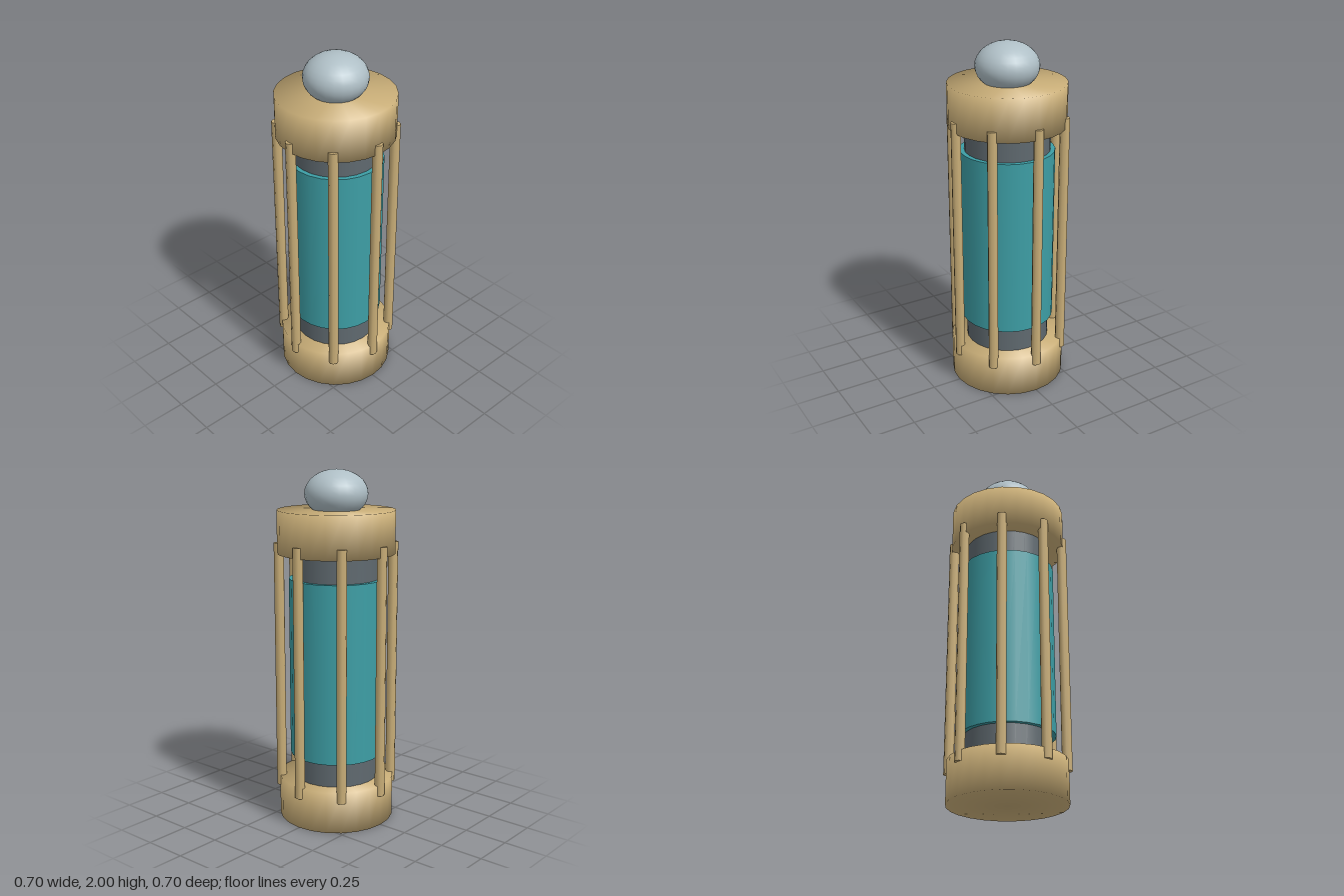
import * as THREE from 'three';
import { mergeVertices } from 'three/addons/utils/BufferGeometryUtils.js';

const mat = (name, color) => {
  const m = new THREE.MeshStandardMaterial({ color });
  m.name = name;
  return m;
};

// Cylinder whose normals blend over the rim, with a vertex on +x
function softCylinder(r, h, sides) {
  const g = new THREE.CylinderGeometry(r, r, h, sides);
  g.deleteAttribute('normal');
  g.deleteAttribute('uv');
  const merged = mergeVertices(g, 1e-4);
  merged.computeVertexNormals();
  return merged;
}

export function createModel() {
  const model = new THREE.Group();
  model.name = 'cagedCanister';
  const brass = mat('brass', 0xc9ae78);
  const teal = mat('tealGlass', 0x3d9ea5);
  const steel = mat('darkSteel', 0x5f696f);
  const silver = mat('paleSilver', 0xafbfc6);

  const add = (name, geometry, material, x, y, z) => {
    const mesh = new THREE.Mesh(geometry, material);
    mesh.name = name;
    mesh.position.set(x, y, z);
    model.add(mesh);
    return mesh;
  };

  // End caps
  const cap = softCylinder(0.33, 0.24, 24);
  add('bottomCap', cap, brass, 0, 0.12, 0);
  add('topCap', cap, brass, 0, 1.66, 0);

  // Inner core, showing as a collar above and below the glass
  add('core', new THREE.CylinderGeometry(0.24, 0.24, 1.36, 24), steel, 0, 0.89, 0);
  add('glassBody', new THREE.CylinderGeometry(0.266, 0.266, 1.02, 24), teal, 0, 0.89, 0);

  // Ring of eight cage rods
  const rod = new THREE.CylinderGeometry(0.028, 0.028, 1.42, 8);
  for (let i = 0; i < 8; i++) {
    const a = (i * Math.PI) / 4;
    add('cageRod' + (i + 1), rod, brass, 0.32 * Math.cos(a), 0.89, 0.32 * Math.sin(a));
  }

  // Flattened ball on top
  const knob = add('knob', new THREE.SphereGeometry(0.177, 24, 16), silver, 0, 1.867, 0);
  knob.scale.y = 0.75;

  return model;
}
